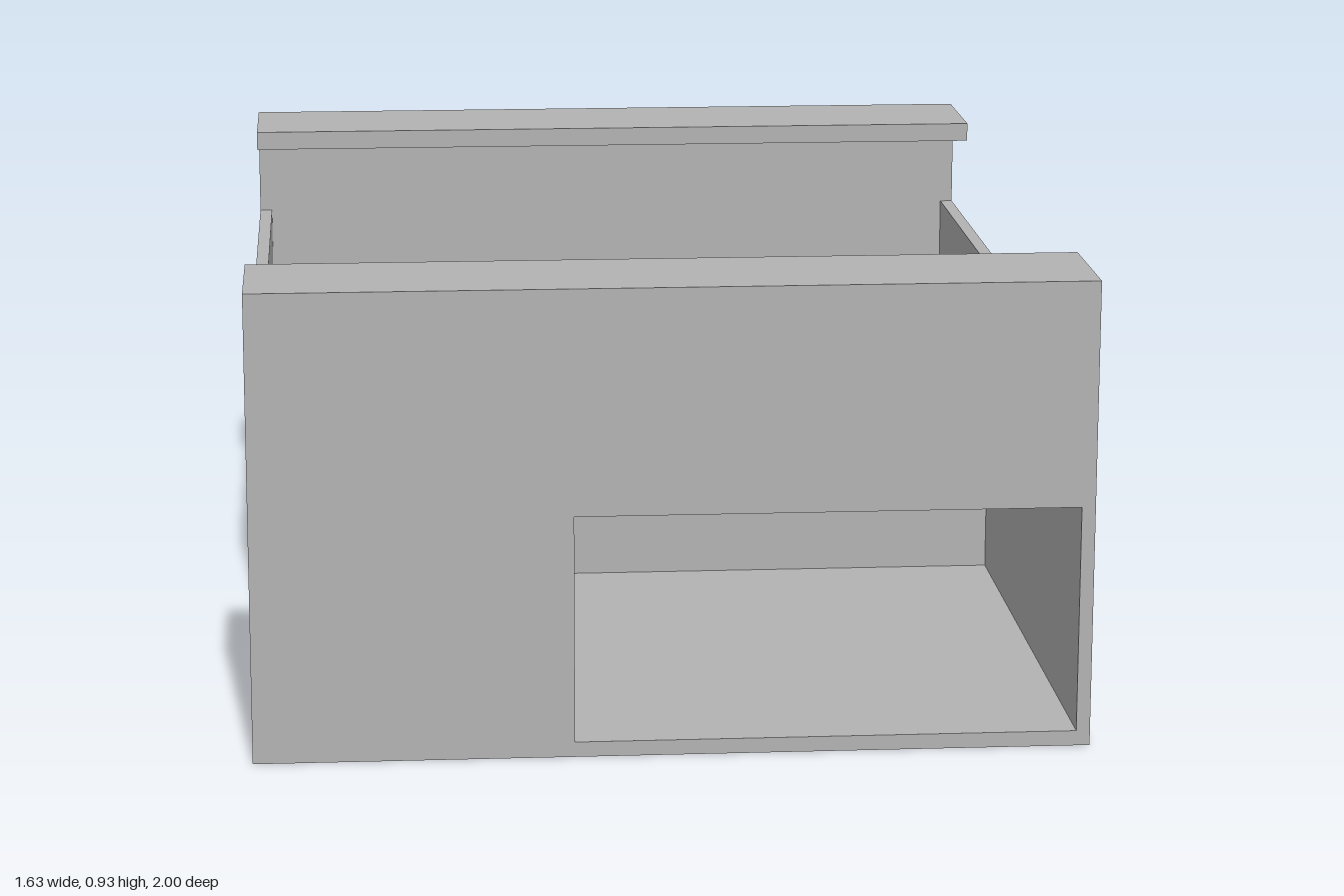
import * as THREE from 'three';

const W = 0.817, D = 1, H = 0.93;        // half width, half depth, overall height
const END = 0.045, SIDE = 0.027;         // thickness of end walls and side walls
const FLOOR = 0.03, WALL_TOP = 0.705, LIP = 0.27;

export function createModel() {
  const group = new THREE.Group();
  const grey = new THREE.MeshStandardMaterial({ color: 0xb3b3b3 });
  grey.name = 'plain grey';

  const add = (name, geometry) => {
    const mesh = new THREE.Mesh(geometry, grey);
    mesh.name = name;
    group.add(mesh);
    return mesh;
  };

  // box given by its minimum and maximum corners
  const block = (name, x0, x1, y0, y1, z0, z1) =>
    add(name, new THREE.BoxGeometry(x1 - x0, y1 - y0, z1 - z0)
      .translate((x0 + x1) / 2, (y0 + y1) / 2, (z0 + z1) / 2));

  // rectangular plate with a rectangular hole, extruded along +z
  const holedPlate = ([x0, x1, y0, y1], [a0, a1, b0, b1], depth) => {
    const rect = (l, r, b, t) => [[l, b], [r, b], [r, t], [l, t]].map(p => new THREE.Vector2(...p));
    const shape = new THREE.Shape(rect(x0, x1, y0, y1));
    shape.holes.push(new THREE.Path(rect(a0, a1, b0, b1).reverse()));
    return new THREE.ExtrudeGeometry(shape, { depth, bevelEnabled: false });
  };

  // end walls: the front has a window, the back is solid
  add('frontWall', holedPlate([-W, W, 0, H], [-0.193, W - SIDE, FLOOR, 0.483], END)
    .translate(0, 0, D - END));
  block('backWall', -W, W, 0, H, -D, -D + END);

  // inward lips along the top of both end walls
  block('frontLip', -W, W, 0.89, H, D - LIP, D - END);
  block('backLip', -W, W, 0.89, H, -D + END, -D + LIP);

  // floor with a slot near the back (shape y becomes -z)
  add('floor', holedPlate([-W, W - SIDE, -D + END, D - END], [-W + SIDE, W - SIDE - 0.001, 0.342, 0.8], FLOOR)
    .rotateX(-Math.PI / 2));

  // full side wall, short side wall and cross divider
  block('leftWall', W - SIDE, W, 0, WALL_TOP, -D + END, D - END);
  block('rightWall', -W, -W + SIDE, FLOOR, WALL_TOP, -D + END, -0.028);
  block('divider', -W + SIDE, W - SIDE, FLOOR, WALL_TOP, -0.205, -0.175);

  return group;
}
